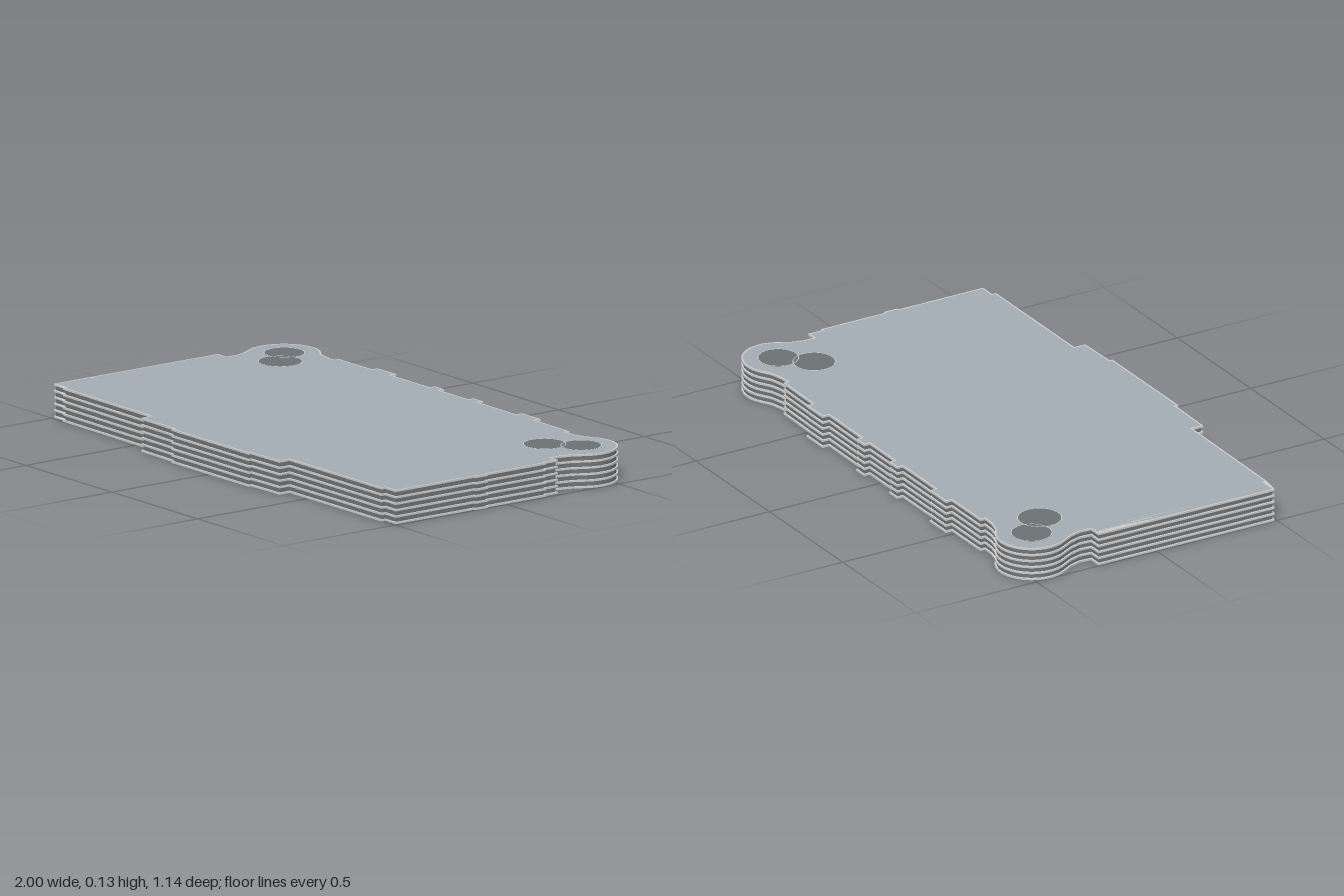
import * as THREE from 'three';

const HEIGHT = 0.124, LIP = 0.007, GROOVE = 0.006, WALL = 0.011, LIPS = 6;

// Rounded lobe at a back corner, as [x, z] points from angle a0 to a1
function lobe(cx, cz, r, a0, a1, n = 28) {
  return Array.from({ length: n + 1 }, (_, i) => {
    const a = a0 + (a1 - a0) * i / n;
    return [cx + r * Math.cos(a), cz + r * Math.sin(a)];
  });
}

// Rectangular tab on the back edge
const tab = (x0, x1, base, out) => [[x0, base], [x0, out], [x1, out], [x1, base]];

// Plan outline as [x, z] points
function outline() {
  const A = Math.PI;
  return [
    // right side, up to the first lobe
    [-1, 0.49], [-0.995, -0.24], [-0.945, -0.24], [-0.942, -0.28], [-0.955, -0.325],
    ...lobe(-0.867, -0.438, 0.132, A * 0.84, A * 1.67),
    [-0.765, -0.529], [-0.72, -0.518], [-0.675, -0.516],
    // back edge with four tabs
    [-0.675, -0.535],
    ...tab(-0.48, -0.37, -0.535, -0.56),
    ...tab(-0.145, -0.09, -0.535, -0.558),
    ...tab(0.08, 0.135, -0.535, -0.558),
    ...tab(0.36, 0.47, -0.533, -0.56),
    [0.675, -0.53], [0.675, -0.513], [0.72, -0.516], [0.765, -0.527],
    // second lobe and the stepped left side
    ...lobe(0.867, -0.436, 0.13, -A * 0.67, A * 0.16),
    [0.955, -0.325], [0.944, -0.28], [0.944, -0.24],
    [0.983, -0.24], [0.983, -0.18], [0.992, -0.18], [0.992, 0.085],
    [1, 0.085], [1, 0.142], [0.992, 0.142], [0.992, 0.492],
    // slightly bowed front edge
    [0.93, 0.492], [0.93, 0.508], [0.395, 0.508], [0.395, 0.553], [0.235, 0.557],
    [0.235, 0.568], [-0.215, 0.568], [-0.215, 0.557], [-0.41, 0.553],
    [-0.41, 0.508], [-0.93, 0.502], [-0.93, 0.49],
  ].map(([x, z]) => new THREE.Vector2(x, -z));
}

// Moves every side of a clockwise outline inward by d
function inset(pts, d) {
  const n = pts.length;
  const normal = (a, b) => {
    const e = b.clone().sub(a).normalize();
    return new THREE.Vector2(e.y, -e.x);
  };
  return pts.map((p, i) => {
    const n1 = normal(pts[(i + n - 1) % n], p);
    const n2 = normal(p, pts[(i + 1) % n]);
    return p.clone().addScaledVector(n1.clone().add(n2), d / (1 + n1.dot(n2)));
  });
}

// Plate or ring lying flat, with its underside at y; the hole winds the other way
function slab(outer, hole, y, h) {
  const shape = new THREE.Shape(outer);
  if (hole) shape.holes.push(new THREE.Path([...hole].reverse()));
  const geo = new THREE.ExtrudeGeometry(shape, { depth: h, bevelEnabled: false });
  return geo.rotateX(-Math.PI / 2).translate(0, y, 0);
}

export function createModel() {
  const model = new THREE.Group();
  const material = (color, side = THREE.FrontSide) => new THREE.MeshStandardMaterial({ color, side });
  const blueGrey = material(0xa3acb3);
  const wallGrey = material(0x707274, THREE.DoubleSide);
  const lightGrey = material(0xcccccc);
  const discGrey = material(0x6b7073, THREE.DoubleSide);
  const add = (name, geo, mat) => {
    const mesh = new THREE.Mesh(geo, mat);
    mesh.name = name;
    model.add(mesh);
    return mesh;
  };

  const rim = outline();
  const wall = inset(rim, GROOVE);
  const inner = inset(rim, WALL);
  const lining = inset(rim, WALL + 0.001);

  // Cover open underneath: top plate over a thin lined side wall
  add('topPlate', slab(wall, null, HEIGHT - LIP, LIP), blueGrey);
  add('sideWall', slab(wall, inner, 0, HEIGHT - LIP), wallGrey);
  add('wallLining', slab(inner, lining, 0, HEIGHT - LIP), blueGrey);

  // Thin lips running all the way round the wall
  for (let i = 0; i < LIPS; i++) {
    add('lip' + (i + 1), slab(rim, wall, i * (HEIGHT - LIP) / (LIPS - 1), LIP), lightGrey);
  }

  // Overlapping pairs of dark discs with fine light outlines in the back corners
  const discs = [
    [-0.865, -0.438, 0.074], [-0.772, -0.348, 0.08],
    [0.865, -0.436, 0.074], [0.77, -0.345, 0.077],
  ];
  discs.forEach(([x, z, r], i) => {
    const flat = (geo, y) => geo.rotateX(-Math.PI / 2).translate(x, y, z);
    add('cornerDisc' + (i + 1), flat(new THREE.CircleGeometry(r, 40), HEIGHT + 0.0004 + 0.0003 * (i % 2)), discGrey);
    add('discOutline' + (i + 1), flat(new THREE.RingGeometry(r - 0.003, r, 40), HEIGHT + 0.0011), lightGrey);
  });

  return model;
}
